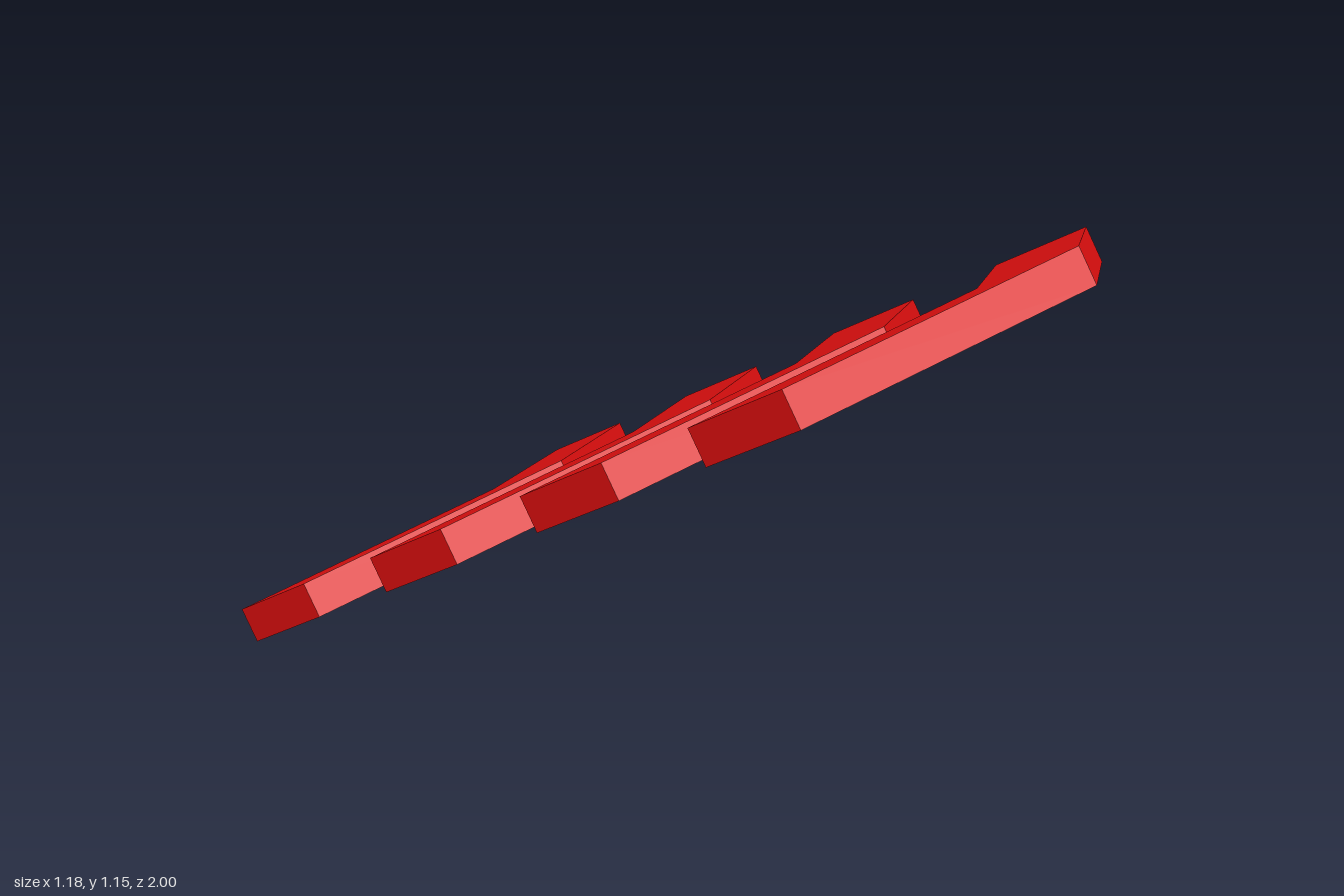
import * as THREE from 'three';

export function createModel() {
  const model = new THREE.Group();
  model.name = 'chevronArrows';
  const red = new THREE.MeshStandardMaterial({ color: 0xe00f0f });
  red.name = 'signal red';

  // Chevron outline: tip at the origin, two swept arms, constant depth
  const depth = 0.266, thickness = 0.085;
  const outline = new THREE.Shape([
    [0, 0], [0.585, -0.336], [0.585, -0.336 - depth],
    [0, -depth], [-0.575, -0.353 - depth], [-0.575, -0.353],
  ].map(([x, y]) => new THREE.Vector2(x, y)));
  const geometry = new THREE.ExtrudeGeometry(outline, { depth: thickness, bevelEnabled: false });

  // Shared tilt: forward is the pointing direction, up is the slab normal
  const forward = new THREE.Vector3(-0.0225, 0.469, 0.883).normalize();
  const up = new THREE.Vector3(-0.094, 0.878, -0.468).normalize();
  const side = new THREE.Vector3().crossVectors(forward, up).normalize();
  up.crossVectors(side, forward);
  const tilt = new THREE.Matrix4().makeBasis(side, forward, up);

  // Upper tip of each chevron, front to back
  const tips = [
    [-0.014, 1.159, 0.96], [-0.01, 0.916, 0.5],
    [-0.006, 0.664, 0.027], [-0.002, 0.422, -0.435],
  ];
  tips.forEach((tip, i) => {
    const chevron = new THREE.Mesh(geometry, red);
    chevron.name = `chevron${i + 1}`;
    chevron.quaternion.setFromRotationMatrix(tilt);
    chevron.position.set(...tip).addScaledVector(up, -thickness);
    model.add(chevron);
  });
  return model;
}
